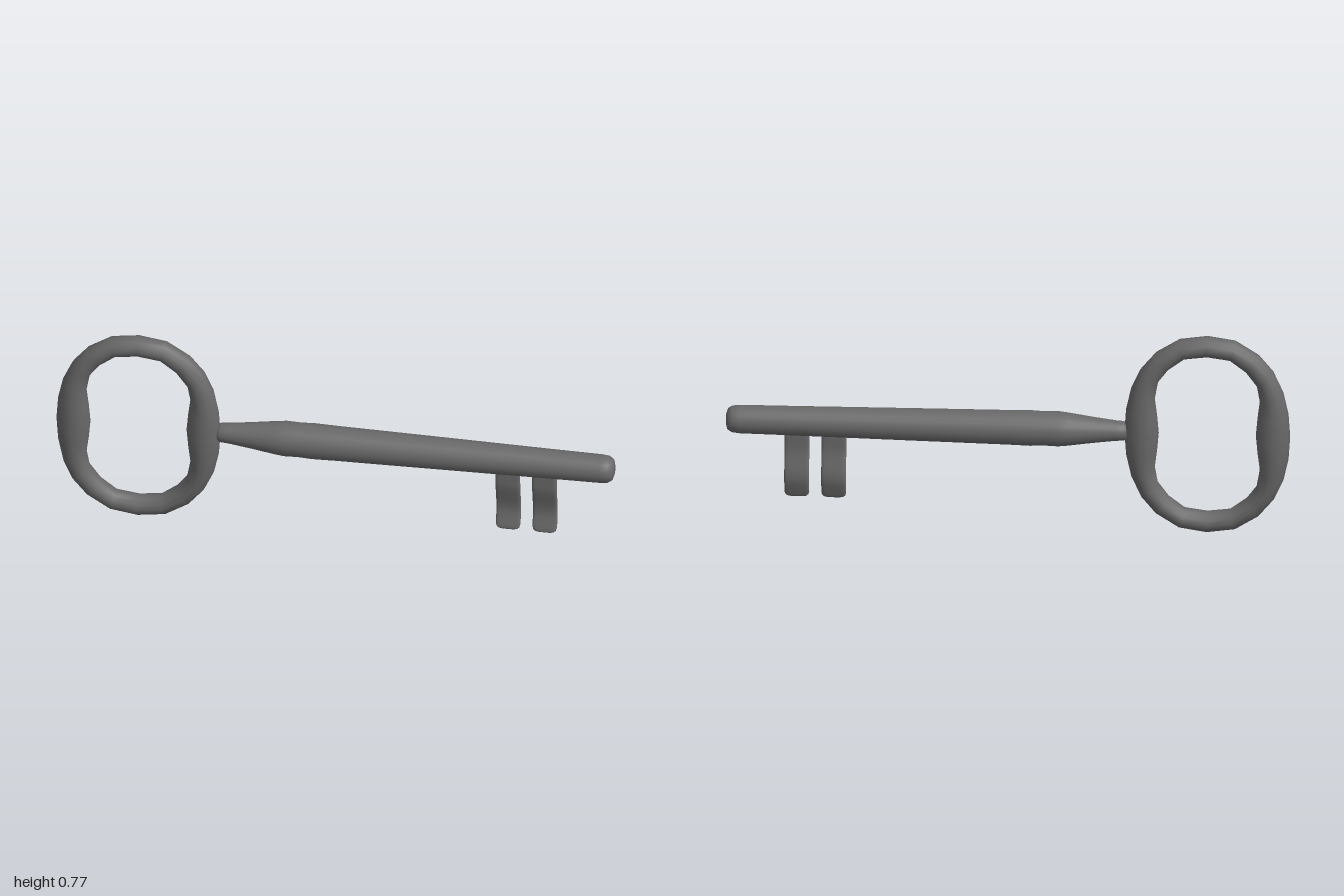
import * as THREE from 'three';
import { mergeVertices } from 'three/addons/utils/BufferGeometryUtils.js';

const material = new THREE.MeshStandardMaterial({ color: 0x696969 });
const AXIS_Y = 0.388;

function addMesh(parent, name, geometry) {
  const mesh = new THREE.Mesh(geometry, material);
  mesh.name = name;
  parent.add(mesh);
  return mesh;
}

// Closed ring of oval cross-sections, swollen at its two sides
function bowGeometry() {
  const outer = [[0.294, 0], [0.288, 0.09], [0.27, 0.175], [0.237, 0.25], [0.185, 0.315], [0.1, 0.37], [0, 0.3855]];
  const inner = [[0.172, 0], [0.178, 0.07], [0.186, 0.135], [0.175, 0.2], [0.135, 0.256], [0.08, 0.3], [0, 0.311]];
  const depth = [0.054, 0.051, 0.047, 0.043, 0.041, 0.041, 0.041];
  const around = 24, sides = 12, positions = [], index = [];
  for (let i = 0; i < around; i++) {
    // mirror the quarter profile into all four quadrants
    const quadrant = Math.floor(i / 6), step = i % 6;
    const k = quadrant % 2 ? 6 - step : step;
    const sx = quadrant === 1 || quadrant === 2 ? -1 : 1;
    const sy = quadrant >= 2 ? -1 : 1;
    const [ox, oy] = outer[k], [ix, iy] = inner[k];
    for (let j = 0; j < sides; j++) {
      const a = (j / sides) * Math.PI * 2, t = 0.5 + 0.5 * Math.cos(a);
      positions.push(sx * (ix + (ox - ix) * t), sy * (iy + (oy - iy) * t), depth[k] * Math.sin(a));
      const i2 = (i + 1) % around, j2 = (j + 1) % sides;
      const p = i * sides + j, q = i2 * sides + j, r = i2 * sides + j2, s = i * sides + j2;
      index.push(p, q, r, p, r, s);
    }
  }
  const geometry = new THREE.BufferGeometry();
  geometry.setAttribute('position', new THREE.Float32BufferAttribute(positions, 3));
  geometry.setIndex(index);
  geometry.computeVertexNormals();
  return geometry;
}

// Tapered round shaft, turned around the x axis
function shaftGeometry() {
  const profile = [
    [0, -0.43], [0.026, -0.427], [0.035, -0.41], [0.037, -0.38], [0.047, -0.3], [0.059, -0.215], [0.063, -0.18],
    [0.0615, -0.13], [0.0638, -0.08], [0.062, 0], [0.058, 0.35], [0.053, 0.75], [0.051, 0.95],
    [0.048, 0.978], [0.038, 0.994], [0.018, 1], [0, 1],
  ].map(([r, x]) => new THREE.Vector2(r, x));
  return new THREE.LatheGeometry(profile, 20).rotateZ(-Math.PI / 2);
}

// Wavy plate: a turned rod with a rounded foot, flattened and bent along z
function bitGeometry(width, thickness) {
  const { smoothstep } = THREE.MathUtils;
  const profile = [[0, 0.088], [0.55, 0.089], [0.8, 0.092], [0.93, 0.098], [1, 0.108]];
  for (let i = 1; i <= 18; i++) profile.push([1, 0.108 + 0.014 * i]);
  let geometry = new THREE.LatheGeometry(profile.map(([r, y]) => new THREE.Vector2(r, y)), 24);
  const position = geometry.attributes.position;
  for (let i = 0; i < position.count; i++) {
    const x = position.getX(i), y = position.getY(i), z = position.getZ(i);
    const r = Math.hypot(x, z) || 1;
    const square = (v, power) => Math.sign(v) * r * Math.abs(v / r) ** power;
    const wave = 0.02 * (smoothstep(y, 0.17, 0.29) + 1 - smoothstep(y, 0.07, 0.17)) - 0.0155;
    position.setXYZ(i, square(x, 0.3) * width / 2, y, square(z, 0.6) * thickness / 2 + wave);
  }
  geometry.deleteAttribute('uv');
  geometry.deleteAttribute('normal');
  geometry = mergeVertices(geometry);
  geometry.computeVertexNormals();
  return geometry;
}

export function createModel() {
  const key = new THREE.Group();
  key.name = 'key';

  addMesh(key, 'bow', bowGeometry()).position.set(-0.706, 0.3855, 0);
  addMesh(key, 'shaft', shaftGeometry()).position.y = AXIS_Y;

  // Two matching bits below the shaft
  const bit = bitGeometry(0.088, 0.019);
  [['innerBit', 0.618], ['outerBit', 0.749]].forEach(([name, x]) => {
    addMesh(key, name, bit).position.x = x;
  });
  return key;
}
